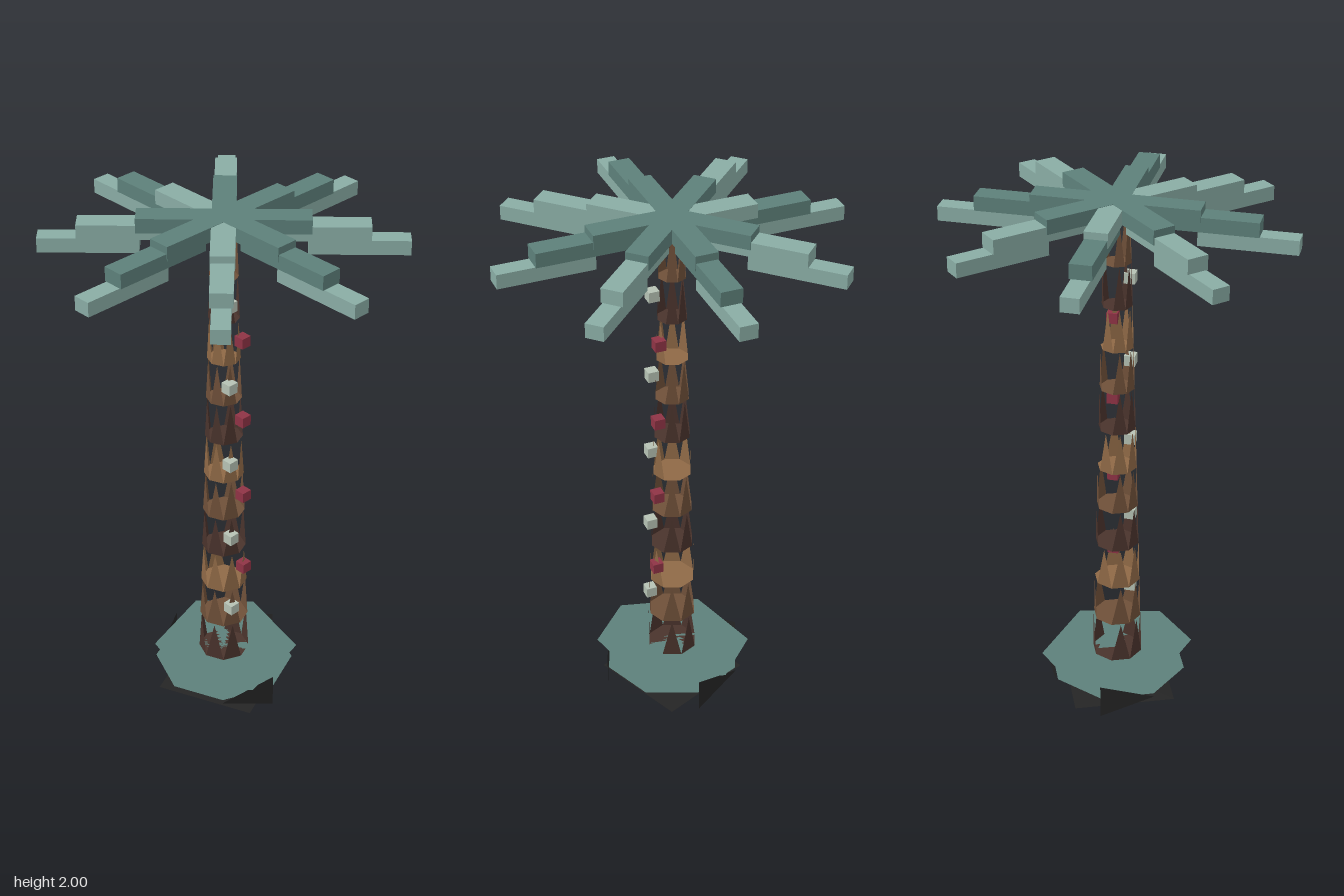
import * as THREE from 'three';

const mat = (name, color, side = THREE.FrontSide) => {
  const m = new THREE.MeshStandardMaterial({ color, side });
  m.name = name;
  return m;
};

// Open triangles with flat normals
function triangles(list) {
  const g = new THREE.BufferGeometry();
  g.setAttribute('position', new THREE.Float32BufferAttribute(list.flat(2), 3));
  g.computeVertexNormals();
  return g;
}

// Flat horizontal polygon from [x, z] corners
function plate(corners, y) {
  return triangles(corners.map((a, i) => {
    const b = corners[(i + 1) % corners.length];
    return [[0, y, 0], [a[0], y, a[1]], [b[0], y, b[1]]];
  }));
}

// Ring of [x, z] corners, anticlockwise seen from above, angle 0 at +z
const ring = (n, r, start = 0) => Array.from({ length: n }, (_, i) => {
  const a = start + i * 2 * Math.PI / n;
  return [r * Math.sin(a), r * Math.cos(a)];
});

export function createModel() {
  const model = new THREE.Group();
  model.name = 'palmTree';
  const D = THREE.DoubleSide;
  const darkLeaf = mat('dark teal', 0x5d807a, D);
  const lightLeaf = mat('light teal', 0x89aca4);
  const soil = mat('black', 0x242424, D);
  const barks = [mat('dark bark', 0x4a332c, D), mat('mid bark', 0x6f5039, D), mat('light bark', 0x8f6946, D)];
  const red = mat('red', 0x8f3345);
  const pale = mat('pale grey', 0xb6c2b4);
  const add = (parent, name, geo, material) => {
    const m = new THREE.Mesh(geo, material);
    m.name = name;
    parent.add(m);
    return m;
  };

  // Base: stacked flat plates with a few loose side shards
  const base = new THREE.Group();
  base.name = 'base';
  model.add(base);
  const H = 0.135;
  add(base, 'groundPlate', plate(ring(4, 0.27, -Math.PI / 8), 0.002), soil);
  add(base, 'middlePlate', plate(ring(8, 0.265), 0.08), darkLeaf);
  add(base, 'topPlate', plate([[0.11, -0.275], [-0.19, -0.19], [-0.27, 0.11],
    [-0.11, 0.27], [0.2, 0.2], [0.27, -0.11]], H), darkLeaf);
  const shard = ([x, z], [tx, tz]) => [[x, 0, z], [x, H, z], [tx, H / 2, tz]];
  add(base, 'baseShards', triangles([
    shard([0, 0.27], [-0.19, 0.19]),
    shard([0.27, 0], [0.19, -0.19]),
    shard([0, -0.27], [-0.19, -0.19]),
  ]), soil);

  // Trunk: tapering crowns of pointed bark over flat eight-sided plates
  const trunk = new THREE.Group();
  trunk.name = 'trunk';
  model.add(trunk);
  const step = 0.163;
  const radius = (y) => 0.095 - 0.027 * (y - H);
  for (let i = 0; i < 11; i++) {
    const y = H + i * step;
    const low = ring(8, radius(y));
    const high = ring(8, radius(y + step), Math.PI / 8);
    const gaps = i % 3 === 2 ? [1, 2] : [0, 3];
    const spikes = [];
    for (let k = 0; k < 8; k++) {
      if (gaps.includes(k)) continue;
      const a = low[k], b = low[(k + 1) % 8], t = high[k];
      spikes.push([[a[0], y, a[1]], [b[0], y, b[1]], [t[0], y + step, t[1]]]);
    }
    add(trunk, 'barkSpikes', triangles(spikes), barks[i % 3]);
    add(trunk, 'barkPlate', plate(low, y), barks[i % 3]);
  }

  // Small cubes alternating up the front of the trunk
  const cube = new THREE.BoxGeometry(0.04, 0.04, 0.04);
  for (let i = 0; i < 9; i++) {
    const y = 0.385 + i * 0.1625;
    const even = i % 2 === 0;
    add(model, even ? 'paleLight' : 'redLight', cube, even ? pale : red)
      .position.set(even ? -0.034 : 0.03, y, 0.077 - 0.013 * (y - 0.385));
  }

  // Crown: eight fronds, each stepping down in three blocks
  const crown = new THREE.Group();
  crown.name = 'crown';
  model.add(crown);
  const block = (frond, name, from, to, y, width, material) =>
    add(frond, name, new THREE.BoxGeometry(width, 0.053, to - from), material)
      .position.set(0, y, (from + to) / 2);
  for (let k = 0; k < 8; k++) {
    const frond = new THREE.Group();
    frond.name = 'frond';
    frond.rotation.y = k * Math.PI / 4;
    crown.add(frond);
    const paleInner = k === 4 || k === 7;
    block(frond, 'frondInner', 0, 0.297, paleInner ? 1.9725 : 1.9735, 0.083, paleInner ? lightLeaf : darkLeaf);
    block(frond, 'frondMiddle', 0.12, 0.497, 1.947, 0.078, k % 2 ? lightLeaf : darkLeaf);
    block(frond, 'frondTip', 0.285, 0.632, 1.894, 0.065, lightLeaf);
  }
  return model;
}
